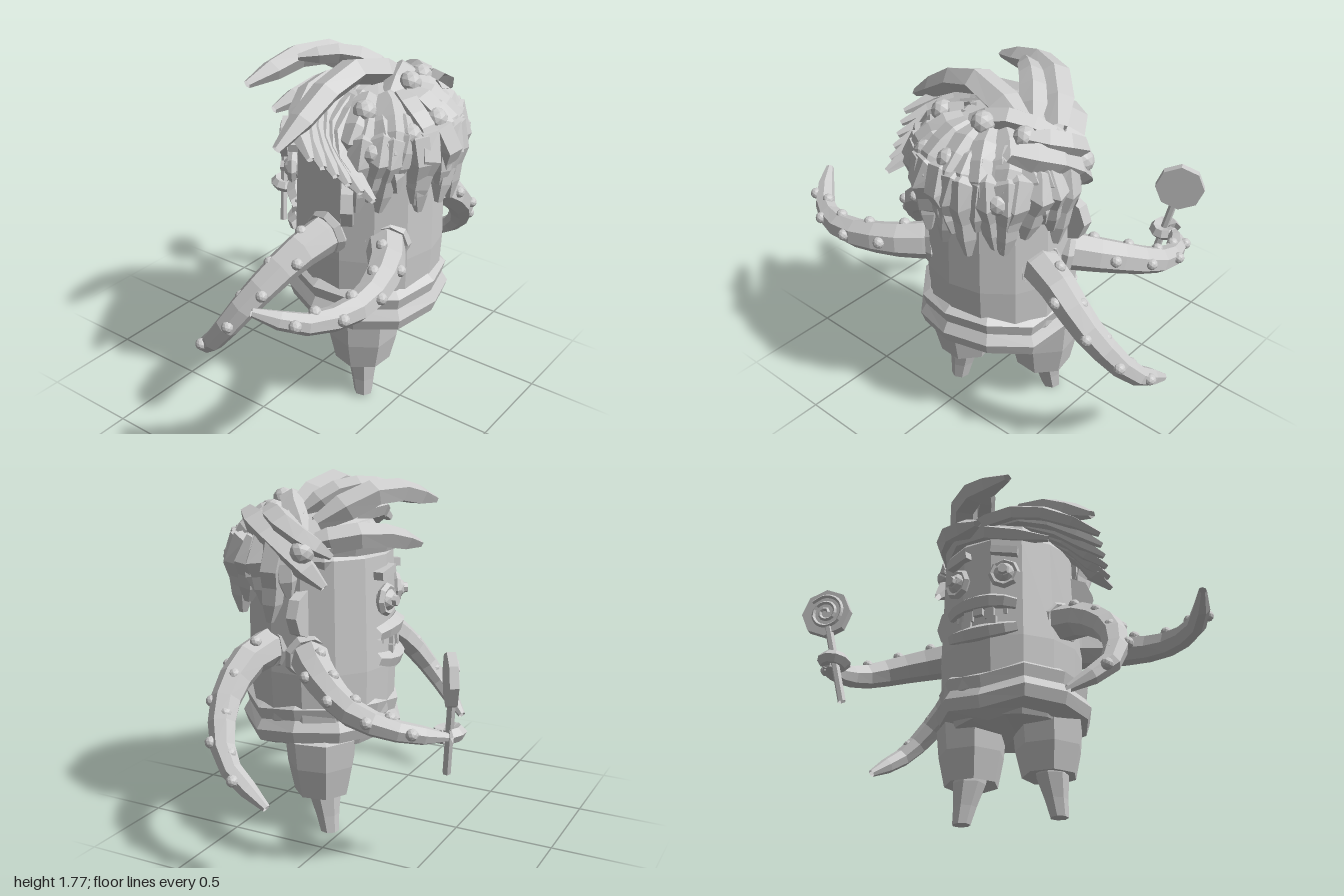
import * as THREE from 'three';

const grey = new THREE.MeshStandardMaterial({ color: 0xcccccc, flatShading: true, side: THREE.DoubleSide });
const CX = 0.1, CZ = 0.21; // body axis
const FACE_TURN = Math.atan2(-0.28, -0.96);
const HAIR_TURN = 0.22; // middle of the hanging hair

function add(parent, name, geometry, x = 0, y = 0, z = 0) {
  const mesh = new THREE.Mesh(geometry, grey);
  mesh.name = name;
  mesh.position.set(x, y, z);
  parent.add(mesh);
  return mesh;
}

let seed = 7;
function rand(a, b) {
  seed = (seed * 16807) % 2147483647;
  return a + (b - a) * seed / 2147483647;
}

const curveOf = (pts) => new THREE.CatmullRomCurve3(pts.map((p) => new THREE.Vector3(...p)));

// Tube whose thickness follows radiusAt(t), optionally flattened in height
function taperedTube(curve, segments, sides, radiusAt, flat = 1) {
  const geo = new THREE.TubeGeometry(curve, segments, 1, sides);
  const pos = geo.attributes.position, v = new THREE.Vector3();
  for (let i = 0; i <= segments; i++) {
    const c = curve.getPointAt(i / segments), r = radiusAt(i / segments);
    for (let j = 0; j <= sides; j++) {
      const k = i * (sides + 1) + j;
      v.fromBufferAttribute(pos, k).sub(c).multiplyScalar(r);
      v.y *= flat;
      v.add(c);
      pos.setXYZ(k, v.x, v.y, v.z);
    }
  }
  geo.computeVertexNormals();
  return geo;
}

function lathe(profile, sides) {
  return new THREE.LatheGeometry(profile.map((p) => new THREE.Vector2(...p)), sides);
}

// Arm with a collar at the shoulder and two rows of suckers
function tentacle(root, name, ...pts) {
  const arm = new THREE.Group();
  arm.name = name;
  root.add(arm);
  const curve = curveOf(pts);
  const radius = (t) => (t > 0.99 ? 0.02 : 0.102 - 0.066 * t);
  add(arm, 'tentacle', taperedTube(curve, 9, 7, radius));
  const collar = add(arm, 'shoulderCollar', new THREE.TorusGeometry(0.095, 0.03, 5, 9), ...curve.getPointAt(0.07).toArray());
  collar.lookAt(collar.position.clone().add(curve.getTangentAt(0.07)));
  const up = new THREE.Vector3(0, 1, 0), side = new THREE.Vector3();
  for (let i = 0; i < 8; i++) {
    const t = 0.2 + i * 0.09;
    const c = curve.getPointAt(t);
    side.crossVectors(curve.getTangentAt(t), up).normalize();
    // outer side of the bend, alternating with the inner upper side
    if (side.x * (c.x - CX) + side.z * (c.z - CZ) < 0) side.negate();
    const a = i % 2 ? 0.25 : 1.9, r = radius(t) * 0.9;
    c.addScaledVector(side, Math.cos(a) * r).addScaledVector(up, Math.sin(a) * r);
    add(arm, 'sucker', new THREE.IcosahedronGeometry(0.029, 1), c.x, c.y, c.z);
  }
}

function lock(hair, r, ...pts) {
  add(hair, 'hairLock', taperedTube(curveOf(pts), 5, 5,
    (t) => r * (t === 0 ? 0.6 : t > 0.99 ? 0.3 : 1.05 - 0.4 * t * t), 0.8));
}

function buildFace(root) {
  const face = new THREE.Group();
  face.name = 'face';
  face.position.set(CX, 0, CZ);
  face.rotation.y = FACE_TURN;
  root.add(face);
  for (const s of [-1, 1]) {
    // Eyes: lid ring, ball and pupil
    const eye = new THREE.Group();
    eye.name = 'eye';
    eye.position.set(s * 0.13, 1.185, 0.34);
    eye.rotation.y = s * 0.3;
    face.add(eye);
    add(eye, 'eyeRing', new THREE.TorusGeometry(0.062, 0.022, 5, 8), 0, 0, 0.01);
    add(eye, 'eyeBall', new THREE.IcosahedronGeometry(0.06, 1));
    add(eye, 'pupil', new THREE.CylinderGeometry(0.025, 0.03, 0.03, 7), 0, 0, 0.055).rotation.x = Math.PI / 2;
    const brow = add(face, 'eyebrow', new THREE.BoxGeometry(0.14, 0.04, 0.05), s * 0.13, 1.32, 0.34);
    brow.rotation.set(0, s * 0.3, -s * 0.15);
    // Ears: thick discs angled forward
    const ear = add(face, 'ear', new THREE.CylinderGeometry(0.115, 0.115, 0.055, 8), s * 0.345, 1.15, -0.01);
    ear.rotation.set(Math.PI / 2, 0, -s * 0.28);
  }
  // Mouth: bent lips around uneven teeth
  const lip = (y, dy) => curveOf([-0.18, -0.09, 0.09, 0.18].map((x) =>
    (Math.abs(x) > 0.1 ? [x, y + dy, 0.31] : [x, y, 0.36])));
  add(face, 'upperLip', taperedTube(lip(1.035, -0.015), 6, 5, (t) => 0.035 + 0.012 * Math.sin(Math.PI * t)));
  add(face, 'lowerLip', taperedTube(lip(0.875, 0.02), 6, 5, (t) => 0.032 + 0.015 * Math.sin(Math.PI * t)));
  for (let i = -2; i <= 2; i++) {
    const h = i % 2 ? 0.065 : 0.045;
    add(face, 'upperTooth', new THREE.BoxGeometry(0.05, h, 0.03), i * 0.058, 1.01 - h / 2, 0.37 - 0.012 * i * i);
    if (i % 2) add(face, 'lowerTooth', new THREE.BoxGeometry(0.05, 0.05, 0.03), i * 0.07, 0.925, 0.36);
  }
}

// Shorts leg at (x, z) with a peg foot whose sole is shifted by (dx, dz)
function buildLeg(root, x, z, dx, dz, y0) {
  const leg = new THREE.Group();
  leg.name = 'leg';
  root.add(leg);
  const shorts = lathe([[0, 0.25], [0.09, 0.23], [0.14, 0.205 + y0], [0.172, 0.36], [0.185, 0.5], [0, 0.56]], 7);
  add(leg, 'shortsLeg', shorts, x, 0, z).rotation.y = 0.4;
  const peg = lathe([[0, 0], [0.047, 0], [0.06, 0.09], [0.085, 0.21], [0.085, 0.28]], 7);
  const pos = peg.attributes.position;
  for (let i = 0; i < pos.count; i++) {
    const k = 1 - pos.getY(i) / 0.28;
    pos.setX(i, pos.getX(i) + dx * k);
    pos.setZ(i, pos.getZ(i) + dz * k);
  }
  add(leg, 'pegFoot', peg, x, y0, z);
}

function buildHair(root) {
  const hair = new THREE.Group();
  hair.name = 'hair';
  root.add(hair);
  add(hair, 'hairCap', new THREE.SphereGeometry(0.36, 10, 6), CX + 0.02, 1.4, CZ + 0.02).scale.set(1, 0.66, 1);
  const around = (a, r, y) => [CX + 0.02 + Math.sin(a) * r, y, CZ + 0.02 + Math.cos(a) * r];

  // Three rows of hanging locks around the back of the head
  for (let row = 0; row < 3; row++) {
    const n = 8 + row * 3, yTop = 1.61 - 0.06 * row, r = 0.16 + 0.07 * row;
    for (let i = 0; i < n; i++) {
      const a = HAIR_TURN + (i / (n - 1) - 0.5) * 2.75 + rand(-0.07, 0.07);
      const yTip = 1.34 - 0.11 * row + rand(-0.04, 0.07), swing = rand(-0.2, 0.2);
      lock(hair, rand(0.058, 0.072), around(a, r, yTop), around(a, r + 0.1, yTop - 0.05),
        around(a + swing / 2, 0.37, (yTop + yTip) / 2 - 0.02), around(a + swing, 0.37, yTip));
    }
  }

  // Long locks swept over the crown and brow
  lock(hair, 0.08, [0.3, 1.6, 0.26], [-0.05, 1.71, 0.2], [-0.52, 1.47, 0.14]);
  lock(hair, 0.08, [0.34, 1.56, 0.1], [0.12, 1.7, -0.12], [-0.28, 1.62, -0.23]);
  lock(hair, 0.08, [0.4, 1.46, 0.14], [0.24, 1.51, -0.12], [-0.08, 1.43, -0.24]);
  lock(hair, 0.078, [0.36, 1.6, 0.46], [0.48, 1.5, 0.24], [0.45, 1.29, 0]);
  lock(hair, 0.07, [0.36, 1.62, 0.34], [0.48, 1.55, 0.16], [0.38, 1.42, 0]);
  lock(hair, 0.065, [0.4, 1.45, 0.05], [0.07, 1.46, -0.14], [-0.28, 1.4, 0.08]);
  lock(hair, 0.065, [0.28, 1.6, 0.2], [0.15, 1.71, 0.05], [-0.04, 1.71, -0.12]);
  lock(hair, 0.065, [0.05, 1.6, 0.35], [0.26, 1.65, 0.28], [0.42, 1.52, 0.12]);
  // Fan of locks blown to one side, their ends curling backwards
  for (let i = 0; i < 6; i++) {
    lock(hair, 0.06, [0.2 - 0.04 * i, 1.6, -0.02 + 0.05 * i],
      [-0.16 - 0.02 * i, 1.58 - 0.03 * i, 0.02 + 0.05 * i],
      [-0.36 + 0.01 * i, 1.5 - 0.04 * i, 0.14 + 0.06 * i], [-0.46 + 0.025 * i, 1.44 - 0.035 * i, 0.28 + 0.05 * i]);
  }

  // Round beads spiralling down among the locks
  for (let i = 0; i < 9; i++) {
    const k = i / 8;
    const b = around(HAIR_TURN + Math.sin(i * 2.4) * 1.4, 0.16 + 0.24 * Math.sqrt(k), 1.64 - 0.25 * k);
    add(hair, 'hairBead', new THREE.IcosahedronGeometry(0.055, 1), ...b);
  }
  add(hair, 'hairBead', new THREE.IcosahedronGeometry(0.06, 1), 0.48, 1.45, 0.1);
}

function buildLollipop(root) {
  const pop = new THREE.Group();
  pop.name = 'lollipop';
  pop.position.set(0.54, 0.97, -0.67);
  root.add(pop);
  const candy = new THREE.Group();
  candy.name = 'candy';
  candy.rotation.y = Math.atan2(-0.5, -0.86);
  pop.add(candy);
  add(candy, 'candyDisc', new THREE.CylinderGeometry(0.126, 0.126, 0.04, 8)).rotation.x = Math.PI / 2;
  const swirl = [];
  for (let i = 0; i <= 20; i++) {
    const r = 0.012 + 0.0042 * i;
    swirl.push([Math.cos(i * 0.75) * r, Math.sin(i * 0.75) * r, 0.02]);
  }
  add(candy, 'candySwirl', new THREE.TubeGeometry(curveOf(swirl), 40, 0.01, 4));
  add(pop, 'stick', new THREE.TubeGeometry(curveOf([[-0.02, -0.08, 0], [-0.1, -0.48, 0.05]]), 1, 0.02, 6));
  // Arm tip curled around the stick
  const grip = add(root, 'gripCurl', new THREE.TorusGeometry(0.05, 0.034, 5, 9, 5.6), 0.49, 0.705, -0.645);
  grip.rotation.x = Math.PI / 2 + 0.15;
}

export function createModel() {
  const root = new THREE.Group();
  root.name = 'tentacledCreature';

  // Barrel body running up into the head
  add(root, 'body', lathe([[0, 0.44], [0.3, 0.46], [0.36, 0.6], [0.37, 0.85], [0.355, 1.4], [0.25, 1.55], [0, 1.58]], 14), CX, 0, CZ);

  // Rumpled waistband
  const band = lathe([[0, 0.45], [0.3, 0.465], [0.385, 0.5], [0.405, 0.56], [0.375, 0.61], [0.39, 0.67], [0.35, 0.7]], 11);
  const p = band.attributes.position;
  for (let i = 0; i < p.count; i++) {
    const a = Math.atan2(p.getX(i), p.getZ(i));
    p.setY(i, p.getY(i) + 0.018 * Math.sin(3 * a + 1) + 0.012 * Math.sin(5 * a));
  }
  band.computeVertexNormals();
  add(root, 'waistband', band, CX - 0.01, 0, CZ + 0.01);

  buildLeg(root, -0.065, 0.305, -0.03, 0.03, 0.015);
  buildLeg(root, 0.29, 0.115, 0.02, -0.05, 0);
  buildFace(root);
  buildHair(root);

  tentacle(root, 'holdingArm', [0.36, 0.95, 0.15], [0.58, 0.89, -0.05], [0.7, 0.8, -0.28], [0.66, 0.74, -0.49], [0.53, 0.7, -0.66]);
  tentacle(root, 'frontLeftArm', [0.34, 0.96, 0.28], [0.52, 0.95, 0.34], [0.75, 0.78, 0.36], [0.92, 0.56, 0.25], [0.96, 0.395, 0.02]);
  tentacle(root, 'frontRightArm', [-0.06, 0.94, 0.41], [-0.28, 0.925, 0.57], [-0.58, 0.89, 0.635], [-0.83, 0.89, 0.54], [-0.98, 0.96, 0.37]);
  tentacle(root, 'backRightArm', [-0.16, 0.98, 0.22], [-0.42, 0.92, 0.17], [-0.66, 0.74, 0.07], [-0.75, 0.51, -0.08], [-0.65, 0.36, -0.26]);
  buildLollipop(root);
  return root;
}
